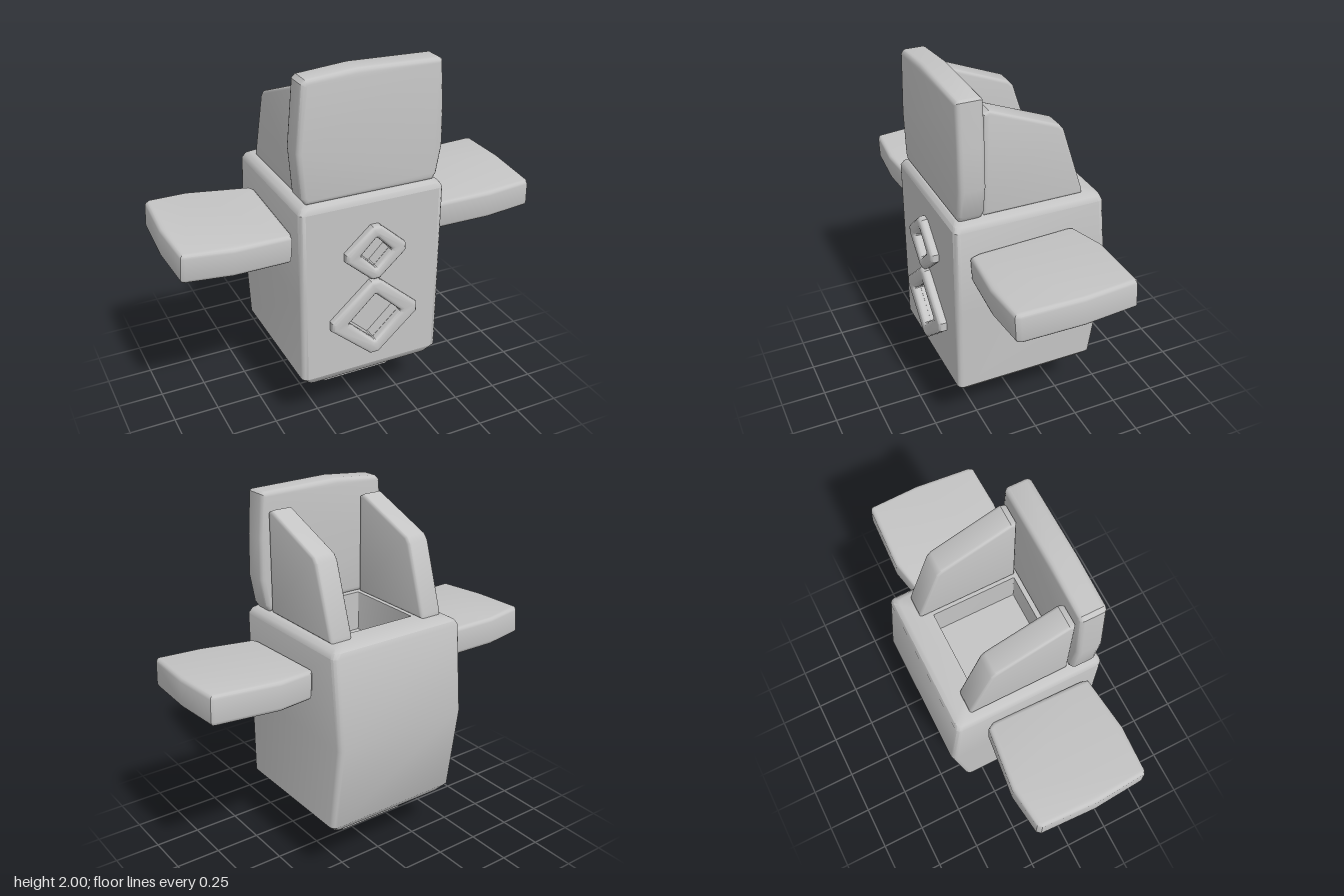
import * as THREE from 'three';
import { toCreasedNormals } from 'three/addons/utils/BufferGeometryUtils.js';

const CREASE = 0.6;
const SEG = 3; // segments per rounded corner

// Rounded-rectangle rings [y, halfX, zBack, zFront, radius] stacked from bottom to top.
// openRings lists ring indices whose front quad is left open.
function loft(rings, openRings = []) {
  const pos = [];
  const idx = [];
  const n = 4 * (SEG + 1);
  for (const [y, hx, zb, zf, r] of rings) {
    for (let k = 0; k < 4; k++) {
      const cx = (k === 0 || k === 3 ? 1 : -1) * (hx - r);
      const cz = k < 2 ? zb + r : zf - r;
      for (let s = 0; s <= SEG; s++) {
        const a = (k + s / SEG) * Math.PI / 2;
        pos.push(cx + r * Math.cos(a), y, cz - r * Math.sin(a));
      }
    }
  }
  const frontSide = 3 * (SEG + 1) - 1;
  for (let i = 0; i < rings.length - 1; i++) {
    for (let j = 0; j < n; j++) {
      if (j === frontSide && openRings.includes(i)) continue;
      const a = i * n + j, b = i * n + (j + 1) % n;
      idx.push(a, b, b + n, a, b + n, a + n);
    }
  }
  // end caps
  const last = (rings.length - 1) * n;
  for (let j = 1; j < n - 1; j++) {
    idx.push(0, j + 1, j, last, last + j, last + j + 1);
  }
  const g = new THREE.BufferGeometry();
  g.setAttribute('position', new THREE.Float32BufferAttribute(pos, 3));
  g.setIndex(idx);
  return toCreasedNormals(g.toNonIndexed(), CREASE);
}

// Bevelled plate cut from an outline, centred on its thickness.
function slab(points, thickness, bevel, holes = []) {
  const toVec = (p) => new THREE.Vector2(p[0], p[1]);
  const shape = new THREE.Shape(points.map(toVec));
  for (const h of holes) shape.holes.push(new THREE.Path(h.map(toVec)));
  const g = new THREE.ExtrudeGeometry(shape, {
    depth: thickness - 2 * bevel, bevelEnabled: bevel > 0, bevelThickness: bevel,
    bevelSize: bevel, bevelOffset: -bevel, bevelSegments: 3,
  });
  g.translate(0, 0, bevel - thickness / 2);
  return toCreasedNormals(g, CREASE);
}

// Diamond outline with clipped corners
function diamond(cy, hx, hy, clip) {
  return [
    [hx, cy - clip], [hx, cy + clip], [clip, cy + hy], [-clip, cy + hy],
    [-hx, cy + clip], [-hx, cy - clip], [-clip, cy - hy], [clip, cy - hy],
  ];
}

export function createModel() {
  const model = new THREE.Group();
  const grey = new THREE.MeshStandardMaterial({ color: 0xc4c4c4 });
  grey.name = 'stone grey';
  const add = (name, geometry, parent = model) => {
    const mesh = new THREE.Mesh(geometry, grey);
    mesh.name = name;
    parent.add(mesh);
    return mesh;
  };

  // Body shell, folding over the rim into the cockpit well
  add('body', loft([
    [0.18, 0.21, -0.18, 0.24, 0.02],
    [0.30, 0.36, -0.345, 0.385, 0.03],
    [0.345, 0.4, -0.38, 0.41, 0.03],
    [0.83, 0.4, -0.45, 0.41, 0.03],
    [1.31, 0.4, -0.405, 0.41, 0.03],
    [1.335, 0.385, -0.395, 0.4, 0.03],
    [1.35, 0.36, -0.37, 0.38, 0.03],
    [1.35, 0.205, -0.24, 0.22, 0.005],
    [1.13, 0.205, -0.24, 0.22, 0.005],
  ], [2, 3]));

  // Front wall with two diamond recesses and their raised frames
  const emblems = [
    { name: 'upperDiamondFrame', y: 1.04, outer: [0.168, 0.152, 0.022], inner: [0.085, 0.085, 0.004] },
    { name: 'lowerDiamondFrame', y: 0.655, outer: [0.247, 0.222, 0.025], inner: [0.148, 0.14, 0.004] },
  ];
  const recesses = emblems.map((e) => diamond(e.y, ...e.inner));
  const wall = [[-0.37, 0.345], [0.37, 0.345], [0.37, 1.31], [-0.37, 1.31]];
  add('frontWall', slab(wall, 0.06, 0, recesses)).position.z = 0.38;
  const backing = add('recessFloor', new THREE.BoxGeometry(0.6, 0.85, 0.02));
  backing.position.set(0, 0.83, 0.34);
  emblems.forEach((e, i) => {
    add(e.name, slab(diamond(e.y, ...e.outer), 0.06, 0.022, [recesses[i]])).position.z = 0.424;
  });

  // Pointed foot
  add('foot', loft([
    [0.0, 0.015, 0.005, 0.035, 0.01],
    [0.015, 0.035, -0.015, 0.055, 0.012],
    [0.16, 0.207, -0.187, 0.227, 0.02],
    [0.185, 0.205, -0.185, 0.225, 0.02],
  ]));

  // Tall front shield
  const shield = add('frontShield', slab([
    [-0.35, 1.347], [0.35, 1.347], [0.372, 1.38], [0.398, 1.53], [0.392, 1.75], [0.375, 1.975],
    [0.36, 1.985], [-0.08, 1.997], [-0.345, 1.975], [-0.365, 1.955], [-0.395, 1.62], [-0.375, 1.38],
  ], 0.14, 0.025));
  shield.position.z = 0.31;

  // Sloping side guards around the cockpit
  const guard = slab([
    [-0.235, 1.347], [0.305, 1.347], [0.305, 1.37], [0.19, 1.725], [0.165, 1.755],
    [-0.205, 1.9], [-0.235, 1.885],
  ], 0.13, 0.018).rotateY(Math.PI / 2);
  for (const [name, side] of [['leftGuard', 1], ['rightGuard', -1]]) {
    add(name, guard).position.x = 0.285 * side;
  }

  // Arm plates, outlines given as [x, -z] about their centres
  const arms = [
    { name: 'leftArm', side: 1, tipX: 0, outline: [
      [-0.285, -0.295], [0.02, -0.325], [0.265, -0.315], [0.28, -0.29], [0.3, 0.02],
      [0.287, 0.295], [0.27, 0.305], [-0.08, 0.32], [-0.28, 0.275], [-0.3, 0.25], [-0.3, -0.25]] },
    { name: 'rightArm', side: -1, tipX: 0.03, outline: [
      [0.285, -0.295], [0.295, -0.25], [0.3, 0.25], [0.28, 0.285], [-0.06, 0.325], [-0.27, 0.3],
      [-0.288, 0.28], [-0.3, -0.02], [-0.28, -0.3], [-0.26, -0.31], [-0.02, -0.325]] },
  ];
  const stud = loft([
    [-0.155, 0.01, -0.01, 0.01, 0.005],
    [-0.085, 0.085, -0.085, 0.085, 0.01],
    [-0.06, 0.09, -0.09, 0.09, 0.01],
  ]);
  for (const { name, side, tipX, outline } of arms) {
    const arm = new THREE.Group();
    arm.name = name;
    arm.position.set(0.7 * side, 1.13, 0.04);
    arm.rotation.set(0.04, 0, 0.06 * side);
    add('armPlate', slab(outline, 0.155, 0.022).rotateX(-Math.PI / 2), arm);
    add('armStud', stud, arm).position.x = tipX;
    model.add(arm);
  }

  return model;
}
